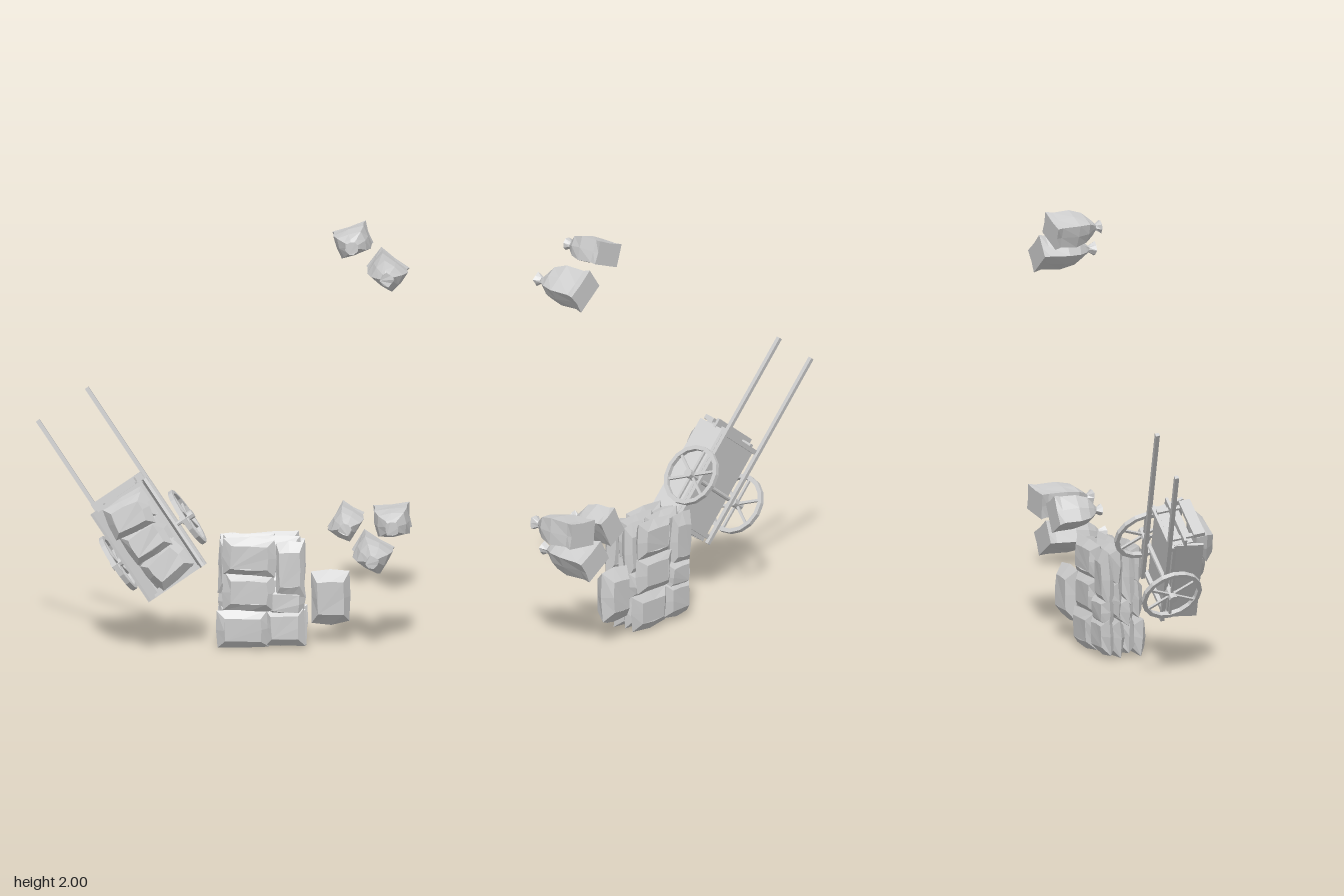
import * as THREE from 'three';

const stone = new THREE.MeshStandardMaterial({ color: 0xcccccc });
stone.name = 'light grey';
const GROUND = -0.18; // ground plane faces +z

let seed = 7;
const rand = (a) => {
  seed = (seed * 16807) % 2147483647;
  return (seed / 2147483647 * 2 - 1) * a;
};

function add(parent, name, geometry, x = 0, y = 0, z = 0) {
  const g = geometry.index ? geometry.toNonIndexed() : geometry;
  g.computeVertexNormals(); // faceted look
  const mesh = new THREE.Mesh(g, stone);
  mesh.name = name;
  mesh.position.set(x, y, z);
  parent.add(mesh);
  return mesh;
}

// Closed skin over rings of equal point count, rising along z
function loft(rings) {
  const n = rings[0].length, pos = rings.flat(2), idx = [];
  for (let i = 0; i < rings.length - 1; i++)
    for (let j = 0; j < n; j++) {
      const a = i * n + j, b = i * n + (j + 1) % n;
      idx.push(a, b, b + n, a, b + n, a + n);
    }
  const top = (rings.length - 1) * n;
  for (let j = 1; j < n - 1; j++) idx.push(0, j + 1, j, top, top + j, top + j + 1);
  const g = new THREE.BufferGeometry();
  g.setAttribute('position', new THREE.Float32BufferAttribute(pos, 3));
  g.setIndex(idx);
  return g;
}

// Rectangle with extra points at the middle of each side
const OUTLINE = [[-1, -1], [0, -1], [1, -1], [1, 0], [1, 1], [0, 1], [-1, 1], [-1, 0]];
const ring = (w, d, z, bulge, jitter = 0) => OUTLINE.map(([x, y]) => {
  const k = x * y === 0 ? bulge : 1;
  return [x * k * w / 2 + rand(jitter), y * k * d / 2 + rand(jitter), z + rand(jitter)];
});

// Lying sack: lens-like pillow with a seam around its rim
function pillow(parent, name, x, y, z, w, d, t, angle = 0) {
  const sack = add(parent, name, loft([
    ring(w * 0.6, d * 0.55, -t / 2, 1.05, 0.003),
    ring(w * 0.94, d * 0.95, 0, 1.06, 0.005),
    ring(w * 0.66, d * 0.58, t / 2, 1.05, 0.003),
  ]), x, y, z);
  sack.rotation.set(rand(0.05), rand(0.05), angle);
  return sack;
}

// Standing sack tied at the neck
function tiedSack(parent, x, y, w, d, h, degrees) {
  const levels = [[0, 1, 0.92], [0.12, 0.93, 1], [0.45, 1.02, 1.08], [0.68, 0.86, 1.12],
    [0.82, 0.46, 1.2], [0.9, 0.2, 1.2], [1, 0.42, 1.25]];
  const sack = add(parent, 'tiedSack', loft(levels.map(([f, s, b], i) => {
    const m = w * (1 - 0.3 * f); // the neck is squarer than the base
    return ring(m * s, d * s, f * h, b, i ? 0.003 : 0);
  })), x, y, GROUND);
  sack.rotation.z = THREE.MathUtils.degToRad(degrees);
}

function wheel(side) {
  const g = new THREE.Group();
  g.name = side > 0 ? 'leftWheel' : 'rightWheel';
  const rim = [[0.126, -0.011], [0.146, -0.011], [0.146, 0.011], [0.126, 0.011], [0.126, -0.011]];
  const r = add(g, 'rim', new THREE.LatheGeometry(rim.map((p) => new THREE.Vector2(...p)), 16));
  r.rotation.z = Math.PI / 2;
  const hub = add(g, 'hub', new THREE.CylinderGeometry(0.021, 0.021, 0.065, 8));
  hub.rotation.z = Math.PI / 2;
  for (let i = 0; i < 6; i++) {
    const a = i * Math.PI / 3;
    const spoke = add(g, 'spoke', new THREE.BoxGeometry(0.011, 0.115, 0.012),
      0, 0.075 * Math.cos(a), 0.075 * Math.sin(a));
    spoke.rotation.x = a;
  }
  g.position.x = side * 0.195;
  return g;
}

// Handcart: local x across, y toward the shaft tips, z up from the bed
function cart() {
  const g = new THREE.Group();
  g.name = 'handcart';
  const box = (name, w, l, h, x, y, z) =>
    add(g, name, new THREE.BoxGeometry(w, l, h), x, y, z);
  const axle = add(g, 'axle', new THREE.CylinderGeometry(0.011, 0.011, 0.4, 8));
  axle.rotation.z = Math.PI / 2;
  for (const s of [-1, 1]) {
    g.add(wheel(s));
    box('shaft', 0.019, 0.99, 0.019, s * 0.138, 0.265, -0.012);
    const side = box('sideBoard', 0.014, 0.49, 0.135, s * 0.135, 0.015, 0.088);
    side.rotation.y = s * 0.22;
    box('frontPost', 0.02, 0.012, 0.15, s * 0.09, 0.268, 0.08);
  }
  box('bed', 0.262, 0.49, 0.016, 0, 0.015, 0.02);
  for (const y of [-0.2, 0.25]) box('crossBeam', 0.28, 0.022, 0.02, 0, y, 0.003);
  box('frontBoard', 0.25, 0.013, 0.1, 0, 0.255, 0.06);
  box('frontRail', 0.28, 0.045, 0.013, 0, 0.275, 0.068);
  box('frontTopBoard', 0.22, 0.022, 0.055, 0, 0.28, 0.145);
  box('tailBoard', 0.25, 0.013, 0.06, 0, -0.222, 0.055);

  // Cargo in two layers
  for (const y of [-0.12, 0.02, 0.16]) pillow(g, 'cargoSack', 0, y, 0.075, 0.22, 0.17, 0.09);
  [[0.01, -0.13, 0.13], [-0.005, 0.015, 0.158], [-0.005, 0.155, 0.19]].forEach(([x, y, z], i) =>
    pillow(g, 'cargoSack', x, y, z, 0.21, 0.165, 0.08, (1 - i) * 0.14));

  g.rotation.order = 'ZXY';
  g.rotation.set(-0.165, 0, THREE.MathUtils.degToRad(34.5));
  g.position.set(-0.33, 0.51, -0.034);
  return g;
}

export function createModel() {
  const model = new THREE.Group();
  model.name = 'cartAndSacks';
  model.add(cart());

  // Four layers of lying sacks, each layer mirrored from the one below
  const stack = new THREE.Group();
  stack.name = 'sackStack';
  const layout = [[0.09, 0.1, 0.25, 0.185], [0.285, 0.11, 0.19, 0.185], [0.12, 0.275, 0.25, 0.18],
    [0.12, 0.44, 0.255, 0.185], [0.31, 0.385, 0.14, 0.27], [0.29, 0.225, 0.18, 0.14]];
  for (let layer = 0; layer < 4; layer++)
    layout.forEach(([x, y, w, d], i) => {
      const px = layer % 2 ? x : 0.355 - x;
      const sink = layer && i === 5 ? 0.012 : 0;
      pillow(stack, 'stackedSack', px, y, -0.146 + layer * 0.053 - sink, w, d, 0.06, rand(0.04));
    });
  model.add(stack);

  // Loose sack beside the stack
  pillow(model, 'looseSack', 0.495, 0.225, -0.127, 0.185, 0.26, 0.095, 0.02);

  // Standing sacks: x, y, width, depth, height, turn
  [[0.598, 1.925, 0.165, 0.11, 0.25, 19], [0.762, 1.783, 0.165, 0.115, 0.29, -37],
    [0.566, 0.582, 0.145, 0.115, 0.24, 60], [0.783, 0.598, 0.17, 0.12, 0.29, 6],
    [0.693, 0.444, 0.165, 0.115, 0.315, -31]].forEach((p) => tiedSack(model, ...p));
  return model;
}
